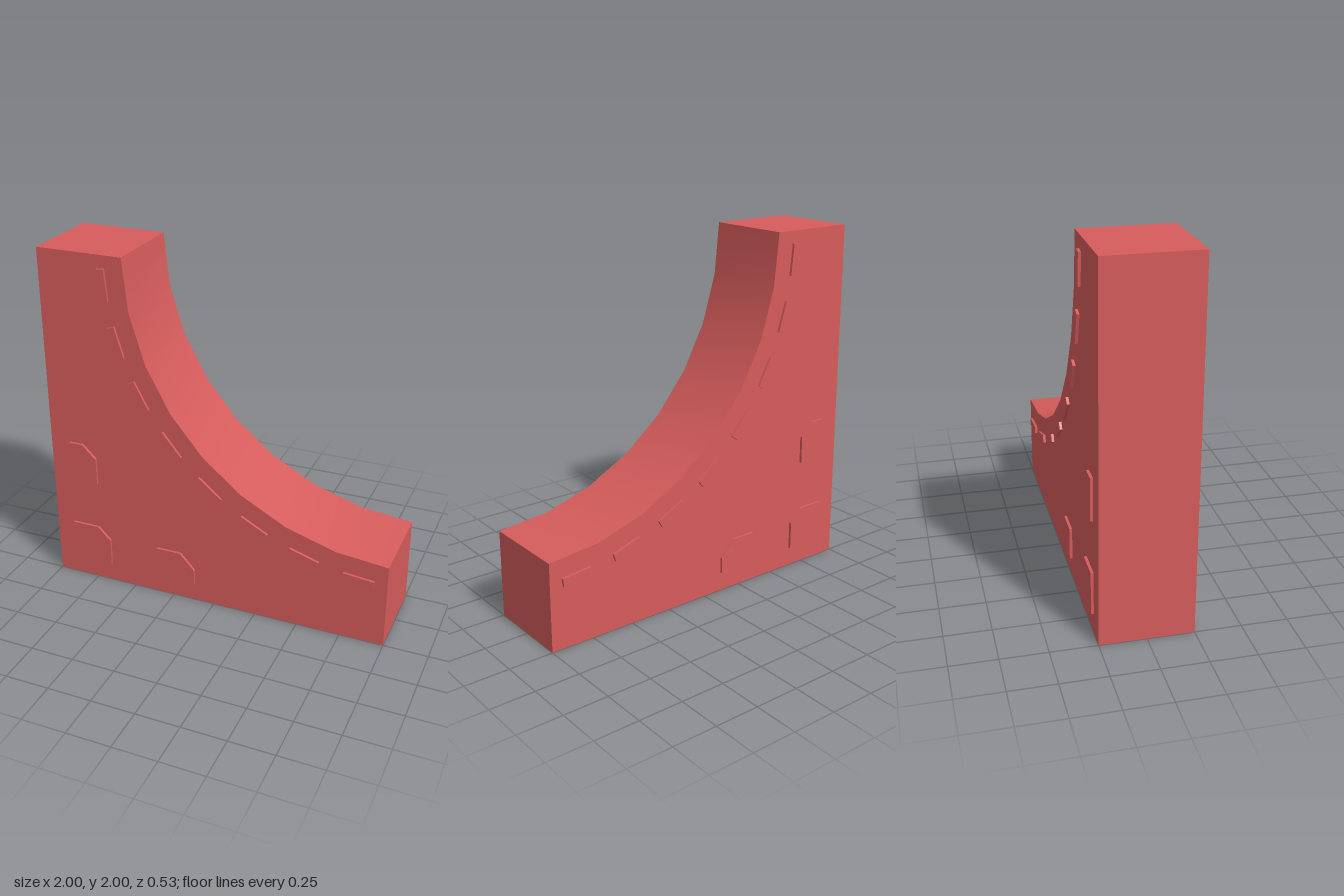
import * as THREE from 'three';
import { toCreasedNormals } from 'three/addons/utils/BufferGeometryUtils.js';

const HALF = 0.25;    // half thickness of the wall
const RAISE = 0.015;  // how far the stones stand out
const SINK = 0.01;    // how far the stones sit inside the wall

export function createModel() {
  const group = new THREE.Group();
  const red = new THREE.MeshStandardMaterial({ color: 0xd65c5c });

  const add = (name, geometry, x = 0, y = 0, z = 0) => {
    const mesh = new THREE.Mesh(geometry, red);
    mesh.name = name;
    mesh.position.set(x, y, z);
    group.add(mesh);
    return mesh;
  };

  // Wall with a concave quarter-circle cut, eight segments along the arc
  const outline = new THREE.Shape();
  outline.moveTo(-1, 2);
  outline.lineTo(-1, 0);
  outline.lineTo(1, 0);
  outline.lineTo(1, 0.5);
  outline.absarc(1, 2, 1.5, 1.5 * Math.PI, Math.PI, true);
  outline.closePath();
  const wall = new THREE.ExtrudeGeometry(outline, { depth: 2 * HALF, bevelEnabled: false, curveSegments: 4 });
  add('curvedWall', toCreasedNormals(wall, 0.4), 0, 0, -HALF);

  // Corner-cut stones: left, bottom, right, top, cut width, cut height
  const stones = [
    [-0.88, 0.64, -0.715, 0.877, 0.08, 0.078],
    [-0.89, 0.112, -0.65, 0.352, 0.076, 0.076],
    [-0.35, 0.112, -0.117, 0.298, 0.085, 0.094],
  ];

  for (const side of [1, -1]) {
    const label = side > 0 ? 'front' : 'back';
    const z = side * (HALF + (RAISE - SINK) / 2);
    const depth = RAISE + SINK;

    // Row of bricks following the arc
    for (let i = 0; i < 8; i++) {
      const a = (i + 0.5) * Math.PI / 16;
      const brick = add(`${label}ArcBrick${i + 1}`, new THREE.BoxGeometry(0.045, 0.175, depth),
        1 - 1.622 * Math.cos(a), 2 - 1.622 * Math.sin(a), z);
      brick.rotation.z = a;
    }

    stones.forEach(([l, b, r, t, cw, ch], i) => {
      const shape = new THREE.Shape([[l, b], [r, b], [r, t - ch], [r - cw, t], [l, t]]
        .map(p => new THREE.Vector2(...p)));
      add(`${label}WallStone${i + 1}`, new THREE.ExtrudeGeometry(shape, { depth, bevelEnabled: false }),
        0, 0, z - depth / 2);
    });
  }

  return group;
}
